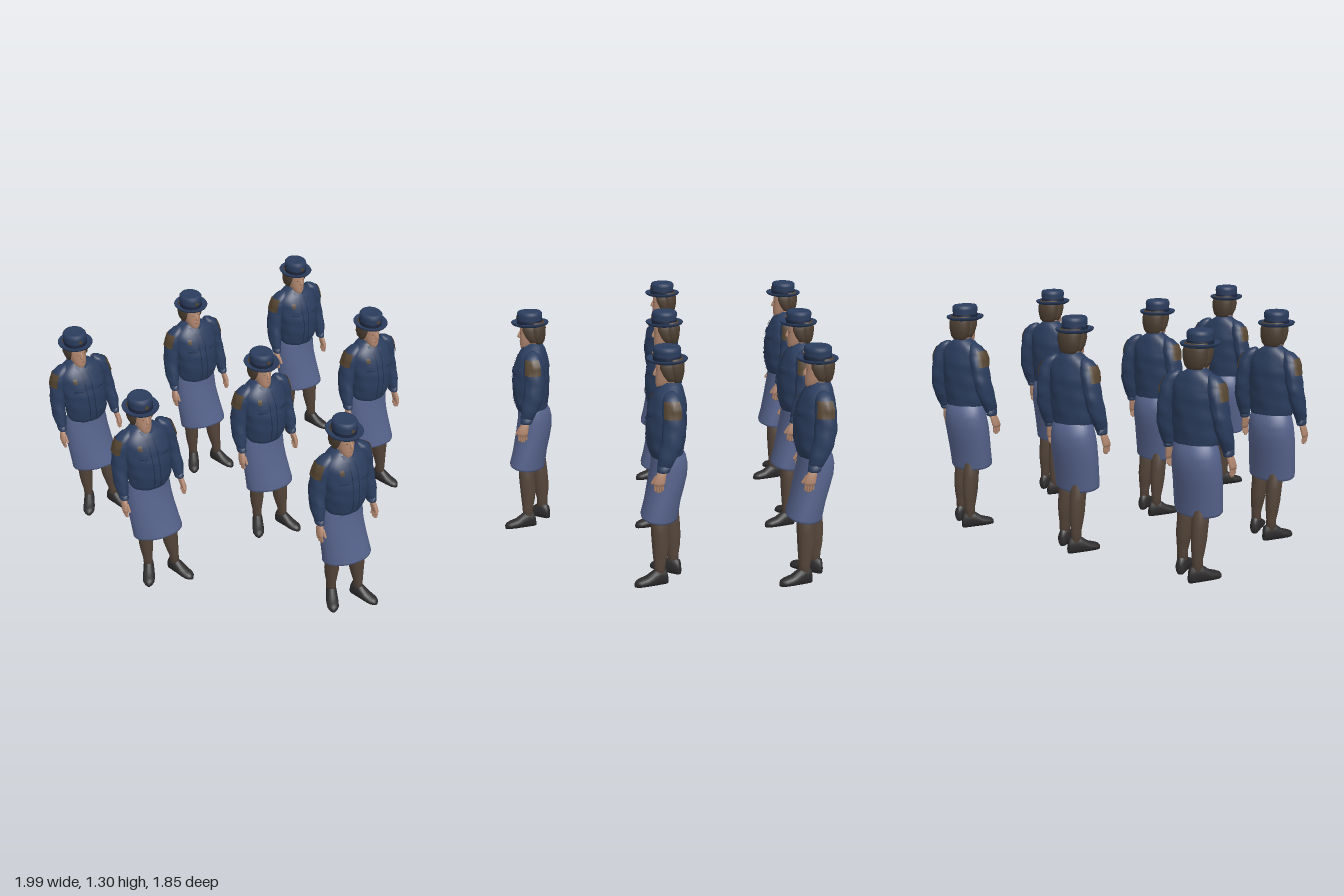
import * as THREE from 'three';

const mat = (name, color, side = THREE.FrontSide) => {
  const m = new THREE.MeshStandardMaterial({ color, side });
  m.name = name;
  return m;
};
const D = THREE.DoubleSide;
const M = {
  shirt: mat('navy cloth', 0x2b3d5e, D),
  seam: mat('dark navy trim', 0x1c2740, D),
  skirt: mat('slate blue cloth', 0x56638c),
  stocking: mat('brown stocking', 0x54453a),
  shoe: mat('black leather', 0x2d2b2c),
  skin: mat('skin', 0xb58a72),
  hair: mat('dark brown hair', 0x4d3f32),
  patch: mat('brown patch', 0x564531, D),
  lips: mat('lips', 0x92604f),
};

// A section is [y, centre x, centre z, radius x, radius z, turn]
const sectionAt = (secs, y) => {
  let i = 0;
  while (i < secs.length - 2 && secs[i + 1][0] < y) i++;
  const [a, b] = [secs[i], secs[i + 1]];
  const k = THREE.MathUtils.clamp((y - a[0]) / (b[0] - a[0]), 0, 1);
  return [0, 1, 2, 3, 4, 5].map((n) => THREE.MathUtils.lerp(a[n] || 0, b[n] || 0, k));
};

// Point on a section at angle t (0 is the front, positive toward +x), with soft cloth folds
function point([y, cx, cz, rx, rz, turn = 0], t, fold, extra = 0) {
  const f = 1 + fold * Math.sin(5 * t + 45 * y) * Math.cos(3 * t - 20 * y);
  const x = (rx * f + extra) * Math.sin(t), z = (rz * f + extra) * Math.cos(t);
  const c = Math.cos(turn), s = Math.sin(turn);
  return [cx + x * c - z * s, y, cz + x * s + z * c];
}

function build(pos, idx) {
  const g = new THREE.BufferGeometry();
  g.setAttribute('position', new THREE.Float32BufferAttribute(pos, 3));
  g.setIndex(idx);
  g.computeVertexNormals();
  return g;
}

// Closed skin over a stack of sections, from the bottom up
function loft(secs, fold = 0, n = 28) {
  const pos = [], idx = [], rows = secs.length;
  for (const s of secs) for (let j = 0; j < n; j++) pos.push(...point(s, (j / n) * Math.PI * 2, fold));
  for (let i = 0; i < rows - 1; i++) for (let j = 0; j < n; j++) {
    const a = i * n + j, b = i * n + ((j + 1) % n);
    idx.push(a, b, b + n, a, b + n, a + n);
  }
  const [lo, hi] = [secs[0], secs[rows - 1]];
  pos.push(lo[1], lo[0], lo[2], hi[1], hi[0], hi[2]);
  for (let j = 0; j < n; j++) {
    const k = (j + 1) % n, top = (rows - 1) * n;
    idx.push(rows * n, k, j, rows * n + 1, top + j, top + k);
  }
  return build(pos, idx);
}

// Thin patch lying on a loft, between two angles and two heights
function decal(secs, t0, t1, y0, y1, fold, lift = 0.004, n = 8) {
  const pos = [], idx = [];
  for (let i = 0; i <= n; i++) for (let j = 0; j <= n; j++) {
    const s = sectionAt(secs, y0 + ((y1 - y0) * i) / n);
    pos.push(...point(s, t0 + ((t1 - t0) * j) / n, fold, lift));
  }
  for (let i = 0; i < n; i++) for (let j = 0; j < n; j++) {
    const a = i * (n + 1) + j, d = a + n + 1;
    idx.push(a, a + 1, d + 1, a, d + 1, d);
  }
  return build(pos, idx);
}

// Adds extra sections between the given ones so folds stay smooth
const refine = (secs, n) => Array.from({ length: n + 1 }, (_, i) => {
  const y = THREE.MathUtils.lerp(secs[0][0], secs[secs.length - 1][0], i / n);
  const s = sectionAt(secs, y);
  s[0] = y;
  return s;
});

function shoeGeometry() {
  // [position along the foot, height, half width]
  const g = loft([[-0.046, 0.045, 0.014], [-0.037, 0.085, 0.026], [0, 0.1, 0.031], [0.03, 0.085, 0.033],
    [0.07, 0.055, 0.036], [0.11, 0.042, 0.034], [0.13, 0.034, 0.024], [0.14, 0.022, 0.01]]
    .map(([l, h, w]) => [l, 0, -h * 0.45, w, h * 0.55]), 0, 20).rotateX(Math.PI / 2);
  const p = g.attributes.position;
  for (let i = 0; i < p.count; i++) p.setY(i, Math.max(0, p.getY(i)));
  g.computeVertexNormals();
  return g;
}

function createFigure() {
  const fig = new THREE.Group();
  fig.name = 'figure';
  const add = (name, geo, m, x = 0, y = 0, z = 0, parent = fig) => {
    const mesh = new THREE.Mesh(geo, m);
    mesh.name = name;
    mesh.position.set(x, y, z);
    parent.add(mesh);
    return mesh;
  };

  // Legs and shoes: the left foot is forward, the right one back and turned out
  add('leftLeg', loft([[0.06, 0.105, 0, 0.026, 0.03], [0.12, 0.103, 0, 0.027, 0.032], [0.17, 0.097, -0.003, 0.034, 0.04],
    [0.23, 0.09, -0.005, 0.042, 0.047], [0.3, 0.084, 0, 0.046, 0.047], [0.43, 0.075, 0, 0.05, 0.05]]), M.stocking);
  add('rightLeg', loft([[0.06, -0.034, -0.075, 0.026, 0.03], [0.12, -0.035, -0.075, 0.027, 0.032], [0.17, -0.038, -0.074, 0.034, 0.04],
    [0.23, -0.04, -0.07, 0.04, 0.046], [0.3, -0.042, -0.066, 0.043, 0.046], [0.43, -0.045, -0.05, 0.045, 0.05]]), M.stocking);
  const shoe = shoeGeometry();
  add('leftShoe', shoe, M.shoe, 0.105, 0, 0).rotation.y = 0.3;
  add('rightShoe', shoe, M.shoe, -0.032, 0, -0.075).rotation.y = -0.52;

  // Skirt, hollow at the hem, which dips toward the back
  const skirt = loft([[0.42, 0.008, 0, 0.11, 0.075, 0.2], [0.365, 0.008, 0, 0.137, 0.092, 0.22], [0.362, 0.008, 0, 0.143, 0.099, 0.22],
    [0.375, 0.008, 0, 0.144, 0.1, 0.2], [0.45, 0.002, -0.015, 0.142, 0.1, 0.15], [0.53, -0.005, -0.032, 0.14, 0.102, 0.1],
    [0.6, -0.008, -0.045, 0.137, 0.103], [0.66, -0.007, -0.051, 0.131, 0.1], [0.7, -0.004, -0.048, 0.124, 0.094],
    [0.73, 0, -0.042, 0.115, 0.086], [0.75, 0, -0.04, 0.1, 0.075]], 0.012, 36);
  const p = skirt.attributes.position;
  for (let i = 0; i < p.count; i++) if (p.getY(i) < 0.4) p.setY(i, p.getY(i) + p.getZ(i) * 0.15);
  skirt.computeVertexNormals();
  add('skirt', skirt, M.skirt);

  // Bloused shirt with its front seams, pocket flaps and badges
  const torso = [[0.705, 0, -0.038, 0.108, 0.08], [0.725, 0, -0.037, 0.12, 0.092], [0.77, 0, -0.034, 0.129, 0.1],
    [0.84, -0.002, -0.034, 0.134, 0.108], [0.91, -0.005, -0.036, 0.138, 0.109], [0.97, -0.007, -0.042, 0.14, 0.104],
    [1.02, -0.01, -0.047, 0.137, 0.092], [1.05, -0.012, -0.05, 0.125, 0.081], [1.075, -0.014, -0.055, 0.1, 0.069],
    [1.095, -0.016, -0.06, 0.065, 0.056], [1.11, -0.016, -0.06, 0.045, 0.044]];
  const F = 0.022;
  add('shirt', loft(refine(torso, 32), F, 40), M.shirt);
  for (const t of [-0.18, 0.1]) add('frontSeam', decal(torso, t, t + 0.03, 0.725, 1.06, F, 0.004, 20), M.seam);
  for (const s of [-1, 1]) {
    add('pocketFlap', decal(torso, s * 0.3, s * 0.72, 0.95, 0.985, F, 0.007), M.shirt);
    add('pocketEdge', decal(torso, s * 0.3, s * 0.72, 0.945, 0.95, F, 0.006), M.seam);
  }
  add('chestBadge', decal(torso, -0.62, -0.44, 1.0, 1.03, F, 0.007), M.patch);

  // Collar with two front points
  const collar = [[1.075, -0.016, -0.054, 0.066, 0.068], [1.09, -0.016, -0.056, 0.059, 0.058], [1.112, -0.016, -0.06, 0.046, 0.046]];
  add('collar', loft(collar), M.shirt);
  const flap = new THREE.Shape([[0, 0.028], [0.042, 0.032], [0.036, -0.022]].map((q) => new THREE.Vector2(...q)));
  for (const s of [-1, 1]) {
    const m = add('collarPoint', new THREE.ExtrudeGeometry(flap, { depth: 0.006, bevelEnabled: false }), M.shirt, -0.016, 1.068, 0.018);
    m.scale.x = s;
    m.rotation.x = -0.55;
    m.rotation.y = s * 0.3;
  }

  // Arms: puffed sleeve, shoulder patch, cuff and hand
  for (const s of [-1, 1]) {
    const arm = new THREE.Group();
    arm.name = s > 0 ? 'leftArm' : 'rightArm';
    fig.add(arm);
    const sleeve = [[0.695, 0.176, -0.022, 0.024, 0.033], [0.72, 0.178, -0.028, 0.03, 0.041], [0.76, 0.176, -0.042, 0.036, 0.051],
      [0.82, 0.171, -0.06, 0.039, 0.056], [0.88, 0.163, -0.07, 0.042, 0.057], [0.95, 0.15, -0.072, 0.044, 0.058],
      [1.01, 0.138, -0.068, 0.046, 0.056], [1.05, 0.125, -0.064, 0.043, 0.049], [1.075, 0.11, -0.062, 0.032, 0.035],
      [1.088, 0.098, -0.062, 0.012, 0.014]].map(([y, x, ...r]) => [y, s * x, ...r]);
    add('sleeve', loft(refine(sleeve, 30), 0.06, 24), M.shirt, 0, 0, 0, arm);
    add('shoulderPatch', decal(sleeve, s * 0.65, s * 2.35, 0.965, 1.053, 0.06, 0.005), M.patch, 0, 0, 0, arm);
    add('cuff', loft([[0.675, s * 0.178, -0.018, 0.021, 0.03], [0.68, s * 0.178, -0.018, 0.025, 0.034],
      [0.712, s * 0.178, -0.024, 0.027, 0.037]], 0, 20), M.shirt, 0, 0, 0, arm);
    add('palm', loft([[0.605, s * 0.191, 0.004, 0.01, 0.027], [0.62, s * 0.19, 0.003, 0.014, 0.031],
      [0.65, s * 0.185, -0.004, 0.015, 0.028], [0.69, s * 0.178, -0.016, 0.015, 0.021]], 0, 16), M.skin, 0, 0, 0, arm);
    for (let i = 0; i < 4; i++) {
      const len = [0.034, 0.043, 0.042, 0.03][i];
      const f = add('finger', new THREE.CapsuleGeometry(0.0068, len, 4, 8), M.skin, s * 0.189, 0.611 - len / 2, 0.025 - i * 0.0135, arm);
      f.rotation.z = -s * 0.15;
    }
    const thumb = add('thumb', new THREE.CapsuleGeometry(0.0075, 0.04, 4, 8), M.skin, s * 0.178, 0.632, 0.03, arm);
    thumb.rotation.x = -0.5;
  }

  // Head, neck and face
  add('neck', new THREE.CylinderGeometry(0.038, 0.043, 0.09, 24), M.skin, -0.016, 1.105, -0.058);
  add('head', loft([[1.077, -0.015, -0.004, 0.014, 0.014], [1.085, -0.015, -0.012, 0.027, 0.03], [1.105, -0.015, -0.024, 0.038, 0.045],
    [1.135, -0.016, -0.035, 0.046, 0.056], [1.17, -0.017, -0.043, 0.05, 0.063], [1.2, -0.018, -0.046, 0.052, 0.065],
    [1.24, -0.02, -0.046, 0.051, 0.062]]), M.skin);
  add('nose', loft([[1.14, -0.015, 0.019, 0.007, 0.006], [1.147, -0.015, 0.024, 0.01, 0.012], [1.16, -0.015, 0.021, 0.007, 0.011],
    [1.185, -0.016, 0.013, 0.005, 0.007]], 0, 12), M.skin);
  add('mouth', new THREE.SphereGeometry(0.012, 12, 8), M.lips, -0.015, 1.122, 0.018).scale.set(1.1, 0.35, 0.35);
  for (const s of [-1, 1]) {
    add('eye', new THREE.SphereGeometry(0.007, 10, 8), M.hair, -0.016 + s * 0.02, 1.173, 0.013).scale.set(1, 0.4, 0.4);
    add('sideHair', loft([[1.12, -0.018 + s * 0.046, -0.062, 0.012, 0.018], [1.15, -0.018 + s * 0.052, -0.052, 0.017, 0.03],
      [1.19, -0.018 + s * 0.053, -0.04, 0.016, 0.037], [1.235, -0.018 + s * 0.048, -0.038, 0.014, 0.038]], 0, 16), M.hair);
  }
  add('hair', loft([[1.11, -0.018, -0.09, 0.04, 0.024], [1.125, -0.018, -0.088, 0.055, 0.035], [1.16, -0.018, -0.084, 0.066, 0.046],
    [1.2, -0.018, -0.082, 0.067, 0.05], [1.24, -0.02, -0.075, 0.062, 0.046]], 0.02), M.hair);

  // Hat: bell-shaped crown, turned-up brim, band and badge
  const hat = new THREE.Group();
  hat.name = 'hat';
  hat.position.set(-0.02, 0, -0.04);
  hat.scale.set(0.95, 1, 1.05);
  fig.add(hat);
  const lathe = (pts) => new THREE.LatheGeometry(pts.map((q) => new THREE.Vector2(...q)), 40);
  add('crown', lathe([[0.067, 1.22], [0.067, 1.245], [0.07, 1.275], [0.069, 1.29], [0.062, 1.299], [0.05, 1.301], [0.03, 1.297], [0, 1.295]]),
    M.shirt, 0, 0, 0, hat);
  add('brim', lathe([[0.045, 1.212], [0.08, 1.216], [0.098, 1.224], [0.104, 1.234], [0.101, 1.239], [0.09, 1.232], [0.066, 1.226]]),
    M.shirt, 0, 0, 0, hat);
  add('hatBand', lathe([[0.0675, 1.225], [0.0695, 1.228], [0.071, 1.248], [0.067, 1.25]]), M.seam, 0, 0, 0, hat);
  const badge = add('hatBadge', new THREE.CylinderGeometry(0.01, 0.01, 0.006, 16), M.patch, 0, 1.262, 0.071, hat);
  badge.rotation.x = Math.PI / 2;
  return fig;
}

export function createModel() {
  const model = new THREE.Group();
  model.name = 'uniformedGroup';
  const figure = createFigure(), gap = 0.783;
  // Two rows of three with one figure ahead
  for (const [c, r] of [[-1, -1], [0, -1], [1, -1], [-1, 0], [0, 0], [1, 0], [0, 1]]) {
    const f = figure.clone();
    f.position.set(c * gap, 0, r * gap);
    model.add(f);
  }
  return model;
}
